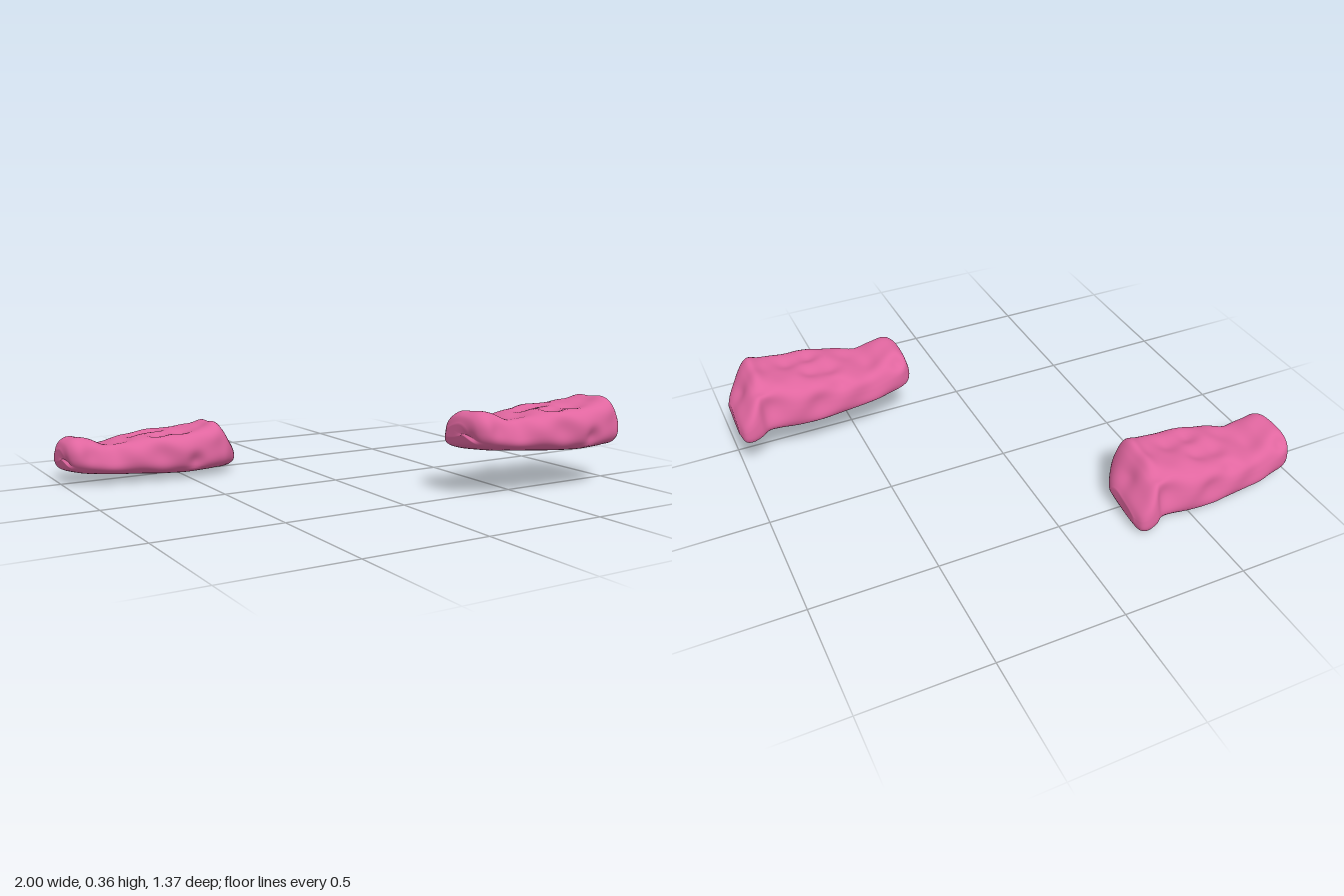
import * as THREE from 'three';

// Stations along the rock: x, bottom, top, back z, front z
const STATIONS = [
  [-1.0, 0.09, 0.165, -0.60, -0.46],
  [-0.985, 0.06, 0.20, -0.62, -0.41],
  [-0.95, 0.045, 0.215, -0.637, -0.378],
  [-0.89, 0.033, 0.205, -0.645, -0.37],
  [-0.82, 0.027, 0.183, -0.657, -0.352],
  [-0.73, 0.02, 0.20, -0.668, -0.336],
  [-0.60, 0.01, 0.217, -0.677, -0.318],
  [-0.50, 0.006, 0.218, -0.672, -0.31],
  [-0.42, 0.008, 0.227, -0.66, -0.313],
  [-0.37, 0.011, 0.242, -0.665, -0.317],
  [-0.335, 0.009, 0.215, -0.688, -0.33],
  [-0.295, 0.006, 0.165, -0.695, -0.375],
  [-0.265, 0.012, 0.13, -0.682, -0.42],
  [-0.25, 0.035, 0.105, -0.64, -0.455],
];

// Hollows and bumps: position x, y, z, radius, push dx, dy, dz
const DENTS = [
  [-0.67, 0.21, -0.53, 0.05, 0, -0.022, 0],
  [-0.61, 0.21, -0.42, 0.045, 0, -0.025, 0],
  [-0.51, 0.21, -0.43, 0.05, 0, -0.028, 0],
  [-0.58, 0.21, -0.53, 0.04, 0, -0.02, 0],
  [-0.75, 0.19, -0.44, 0.05, 0, -0.014, 0],
  [-0.83, 0.18, -0.52, 0.06, 0, -0.014, 0],
  [-0.69, 0.19, -0.65, 0.035, 0, -0.015, 0.02],
  [-0.37, 0.23, -0.60, 0.04, 0, -0.022, 0],
  [-0.41, 0.22, -0.46, 0.05, 0, -0.01, 0],
  [-0.48, 0.09, -0.31, 0.035, 0, 0, -0.025],
  [-0.63, 0.13, -0.32, 0.05, 0, 0, -0.012],
  [-0.80, 0.15, -0.36, 0.05, 0, 0, -0.018],
  [-0.91, 0.14, -0.37, 0.04, 0, 0, -0.012],
  [-0.36, 0.15, -0.31, 0.05, 0, 0, -0.015],
  [-0.38, 0.15, -0.66, 0.06, 0, 0, 0.025],
  [-0.58, 0.12, -0.68, 0.05, 0, 0, 0.014],
  [-0.95, 0.19, -0.61, 0.035, 0, -0.02, 0.015],
  [-0.29, 0.14, -0.50, 0.05, -0.015, 0, 0],
  [-0.99, 0.10, -0.45, 0.04, 0.015, 0, 0],
];

const CENTRE = new THREE.Vector3(-0.625, 0, -0.5);

function rockGeometry(rings = 110, sides = 80) {
  const spline = (a, b) => new THREE.CatmullRomCurve3(
    STATIONS.map((s) => new THREE.Vector3(s[0], s[a], s[b])), false, 'catmullrom', 0.5);
  const heights = spline(1, 2), widths = spline(3, 4);
  const pos = [], index = [], p = new THREE.Vector3();

  const addRing = (t, scale) => {
    const h = heights.getPoint(t), w = widths.getPoint(t);
    const cy = (h.y + h.z) / 2, ry = (h.z - h.y) / 2;
    const cz = (w.y + w.z) / 2, rz = (w.z - w.y) / 2;
    for (let i = 0; i < sides; i++) {
      // rounded-rectangle section
      const a = (i / sides) * Math.PI * 2, c = Math.cos(a), s = Math.sin(a);
      const r = scale / Math.pow(c ** 4 + s ** 4, 0.25);
      const u = c * r, v = s * r;
      p.set(h.x, cy + ry * v, cz + rz * u);
      // tilted base, top falling to the back, slanted back and front walls
      if (v < 0) p.y += 0.014 * (1 + u) * -v;
      else p.y -= 0.011 * (1 - u) * v;
      if (u < 0) p.z += 0.017 * (1 + v) * -u;
      else p.z -= 0.014 * u * v * v * (v > 0 ? 2 : 1.5);
      // weathering, kept weaker on the smooth underside
      const x = p.x, y = p.y, z = p.z, k = v < -0.7 ? 0.2 : 1;
      for (const [dx, dy, dz, rad, mx, my, mz] of DENTS) {
        const d2 = (x - dx) ** 2 + (y - dy) ** 2 + (z - dz) ** 2;
        const f = Math.exp(-d2 / (rad * rad)) * k;
        p.x += mx * f; p.y += my * f; p.z += mz * f;
      }
      const n = 0.003 * k * scale;
      p.y += n * Math.sin(x * 38 + z * 17) * Math.cos(z * 33 - x * 9) * v;
      p.z += n * Math.sin(x * 31 + y * 40) * u;
      p.sub(CENTRE);
      pos.push(p.x, p.y, p.z);
    }
  };

  // closing rings at both ends shrink to a point
  const caps = [0, 0.3, 0.6, 0.85];
  const plan = [
    ...caps.map((s) => [0, s]),
    ...Array.from({ length: rings + 1 }, (_, i) => [i / rings, 1]),
    ...caps.slice().reverse().map((s) => [1, s]),
  ];
  plan.forEach(([t, s]) => addRing(t, s));
  for (let j = 0; j < plan.length - 1; j++) {
    for (let i = 0; i < sides; i++) {
      const a = j * sides + i, b = j * sides + ((i + 1) % sides);
      const c = a + sides, d = b + sides;
      index.push(a, c, b, b, c, d);
    }
  }
  const geo = new THREE.BufferGeometry();
  geo.setAttribute('position', new THREE.Float32BufferAttribute(pos, 3));
  geo.setIndex(index);
  geo.computeVertexNormals();
  return geo;
}

export function createModel() {
  const group = new THREE.Group();
  group.name = 'rockPair';
  const geometry = rockGeometry();
  const material = new THREE.MeshStandardMaterial({ color: 0xe0669f });
  const addRock = (name, x, y, z) => {
    const rock = new THREE.Mesh(geometry, material);
    rock.name = name;
    rock.position.set(x, y, z);
    group.add(rock);
  };
  // the same slab twice, one lower at the back and one raised at the front
  addRock('backRock', -0.625, 0, -0.5);
  addRock('frontRock', 0.625, 0.14, 0.5);
  return group;
}
